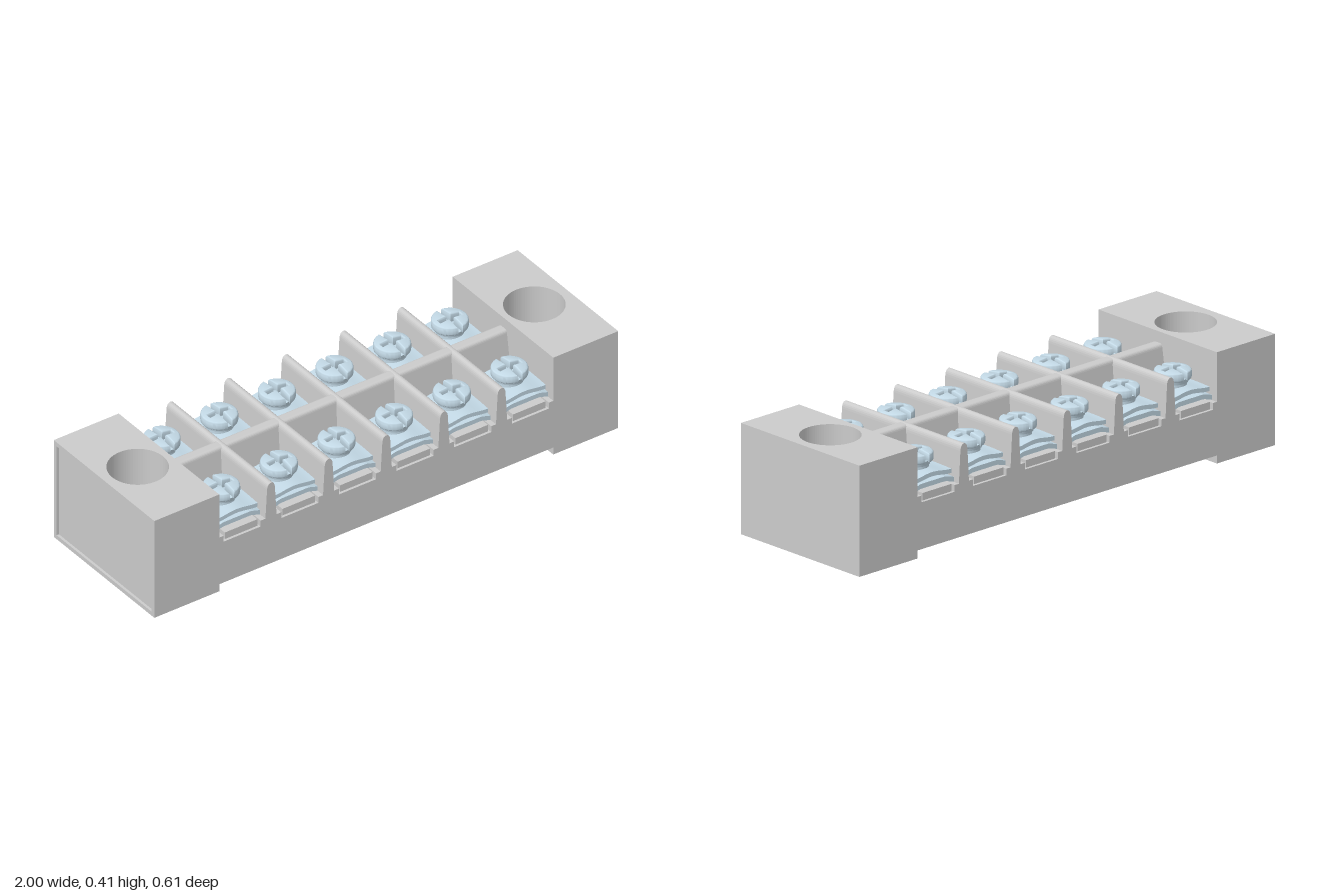
import * as THREE from 'three';
import { toCreasedNormals } from 'three/addons/utils/BufferGeometryUtils.js';

const PITCH = 0.2485, COUNT = 6, HALF_Z = 0.304;
const plastic = new THREE.MeshStandardMaterial({ color: 0xcccccc });
const steel = new THREE.MeshStandardMaterial({ color: 0xc3d9e6 });

function mesh(name, geometry, material, x = 0, y = 0, z = 0) {
  const m = new THREE.Mesh(geometry, material);
  m.name = name;
  m.position.set(x, y, z);
  return m;
}

// Plan shape (x, -z) extruded upwards from y0 to y1
function slab(shape, y0, y1) {
  return new THREE.ExtrudeGeometry(shape, { depth: y1 - y0, bevelEnabled: false, curveSegments: 40 })
    .rotateX(-Math.PI / 2).translate(0, y0, 0);
}

function rect(x0, y0, x1, y1) {
  return new THREE.Shape([[x0, y0], [x1, y0], [x1, y1], [x0, y1]].map(p => new THREE.Vector2(...p)));
}

function circleHole(shape, x, r) {
  shape.holes.push(new THREE.Path().absarc(x, 0, r, 0, Math.PI * 2, true));
  return shape;
}

// Bar with stepped pockets and round-topped tapered dividers
function barGeometry() {
  const s = new THREE.Shape();
  s.moveTo(-0.722, 0.03);
  s.lineTo(0.722, 0.03);
  s.lineTo(0.722, 0.23);
  for (let i = COUNT - 1; i >= 0; i--) {
    const x = (i - (COUNT - 1) / 2) * PITCH;
    s.lineTo(x + 0.08, 0.23);
    s.lineTo(x + 0.08, 0.205);
    s.lineTo(x - 0.08, 0.205);
    s.lineTo(x - 0.08, 0.23);
    if (i > 0) {
      const d = x - PITCH / 2;
      s.lineTo(d + 0.024, 0.23);
      s.lineTo(d + 0.017, 0.35);
      s.quadraticCurveTo(d + 0.015, 0.375, d, 0.375);
      s.quadraticCurveTo(d - 0.015, 0.375, d - 0.017, 0.35);
      s.lineTo(d - 0.024, 0.23);
    }
  }
  s.lineTo(-0.722, 0.23);
  return new THREE.ExtrudeGeometry(s, { depth: HALF_Z * 2, bevelEnabled: false, curveSegments: 6 })
    .translate(0, 0, -HALF_Z);
}

// Lengthwise rib between the two rows
function ribGeometry() {
  const s = new THREE.Shape();
  s.moveTo(-0.05, 0.2);
  s.lineTo(0.05, 0.2);
  s.lineTo(0.042, 0.24);
  s.lineTo(0.024, 0.36);
  s.quadraticCurveTo(0.022, 0.373, 0.01, 0.373);
  s.lineTo(-0.01, 0.373);
  s.quadraticCurveTo(-0.022, 0.373, -0.024, 0.36);
  s.lineTo(-0.042, 0.24);
  return new THREE.ExtrudeGeometry(s, { depth: 1.444, bevelEnabled: false, curveSegments: 5 })
    .rotateY(Math.PI / 2).translate(-0.722, 0, 0);
}

// Mounting block with a counterbored hole
function endBlock(side) {
  const g = new THREE.Group();
  g.name = side > 0 ? 'leftEndBlock' : 'rightEndBlock';
  const outer = side > 0 ? 1 : 0.99;
  const plan = r => circleHole(
    rect(Math.min(side * 0.72, side * outer), -HALF_Z, Math.max(side * 0.72, side * outer), HALF_Z), side * 0.855, r);
  g.add(mesh('blockLower', slab(plan(0.063), 0, 0.2), plastic));
  g.add(mesh('blockUpper', slab(plan(0.11), 0.2, 0.415), plastic));
  if (side < 0) {
    // Raised rim around the shallow label recess
    const rim = rect(-HALF_Z, 0, HALF_Z, 0.415);
    rim.holes.push(rect(-HALF_Z + 0.017, 0.017, HALF_Z - 0.017, 0.398));
    const geo = new THREE.ExtrudeGeometry(rim, { depth: 0.01, bevelEnabled: false })
      .rotateY(-Math.PI / 2).translate(-0.99, 0, 0);
    g.add(mesh('recessRim', geo, plastic));
  }
  return g;
}

// Clamp plate whose height follows a bend rule
function bentPlate(w, h, d, bend) {
  const geo = new THREE.BoxGeometry(w, h, d, 16, 1, 16);
  const p = geo.attributes.position;
  for (let i = 0; i < p.count; i++) p.setY(i, p.getY(i) + bend(p.getX(i) / w * 2, p.getZ(i) / d * 2));
  return toCreasedNormals(geo, 0.6);
}

// Half of the domed head, leaving a through slot and a short cross arm
function headHalf() {
  const R = 0.067, gap = 0.009, arm = 0.045, a = Math.acos(gap / R);
  const s = new THREE.Shape();
  s.moveTo(gap, -R * Math.sin(a));
  s.absarc(0, 0, R, -a, a, false);
  s.lineTo(gap, gap);
  s.lineTo(arm, gap);
  s.lineTo(arm, -gap);
  s.lineTo(gap, -gap);
  const geo = new THREE.ExtrudeGeometry(s, {
    depth: 0.026, bevelThickness: 0.008, bevelSize: 0.006, bevelOffset: -0.006, bevelSegments: 3, curveSegments: 20,
  }).rotateX(-Math.PI / 2).translate(0, 0.008, 0);
  // Dome the upper surface
  const p = geo.attributes.position;
  for (let i = 0; i < p.count; i++) {
    const r2 = p.getX(i) ** 2 + p.getZ(i) ** 2;
    if (p.getY(i) > 0.02) p.setY(i, p.getY(i) - 2 * r2);
  }
  return toCreasedNormals(geo, 0.6);
}

function makeTerminal() {
  const half = headHalf();
  const foot = new THREE.BoxGeometry(0.14, 0.028, 0.25);
  const lower = bentPlate(0.2, 0.018, 0.19, (x, z) => -0.012 * Math.max(0, Math.abs(x) - 0.6) / 0.4 + 0.004 * Math.cos(z * 3));
  const upper = bentPlate(0.185, 0.016, 0.18, (x, z) => 0.005 * Math.cos(x * Math.PI) - 0.003 * z * z);
  const shank = new THREE.CylinderGeometry(0.05, 0.05, 0.09, 24);
  const base = new THREE.CylinderGeometry(0.06, 0.055, 0.018, 32);
  return (x, z, shift) => {
    const g = new THREE.Group();
    g.name = 'terminal';
    g.position.set(x, 0, z);
    g.add(mesh('contactFoot', foot, plastic, 0, 0.222, shift));
    g.add(mesh('lowerClampPlate', lower, steel, 0, 0.256, 0));
    g.add(mesh('upperClampPlate', upper, steel, 0, 0.28, 0));
    g.add(mesh('screwShank', shank, steel, 0, 0.265, 0));
    g.add(mesh('screwHeadBase', base, steel, 0, 0.312, 0));
    for (const turn of [0, Math.PI]) {
      const h = mesh('screwHeadHalf', half, steel, 0, 0.314, 0);
      h.rotation.y = turn;
      g.add(h);
    }
    return g;
  };
}

export function createModel() {
  const model = new THREE.Group();
  model.name = 'terminalBlock';
  model.add(mesh('baseBar', barGeometry(), plastic));
  model.add(mesh('centreRib', ribGeometry(), plastic));
  model.add(endBlock(1), endBlock(-1));
  const terminal = makeTerminal();
  for (let i = 0; i < COUNT; i++) {
    const x = (i - (COUNT - 1) / 2) * PITCH;
    model.add(terminal(x, 0.177, -0.005), terminal(x, -0.183, 0.009));
  }
  return model;
}
